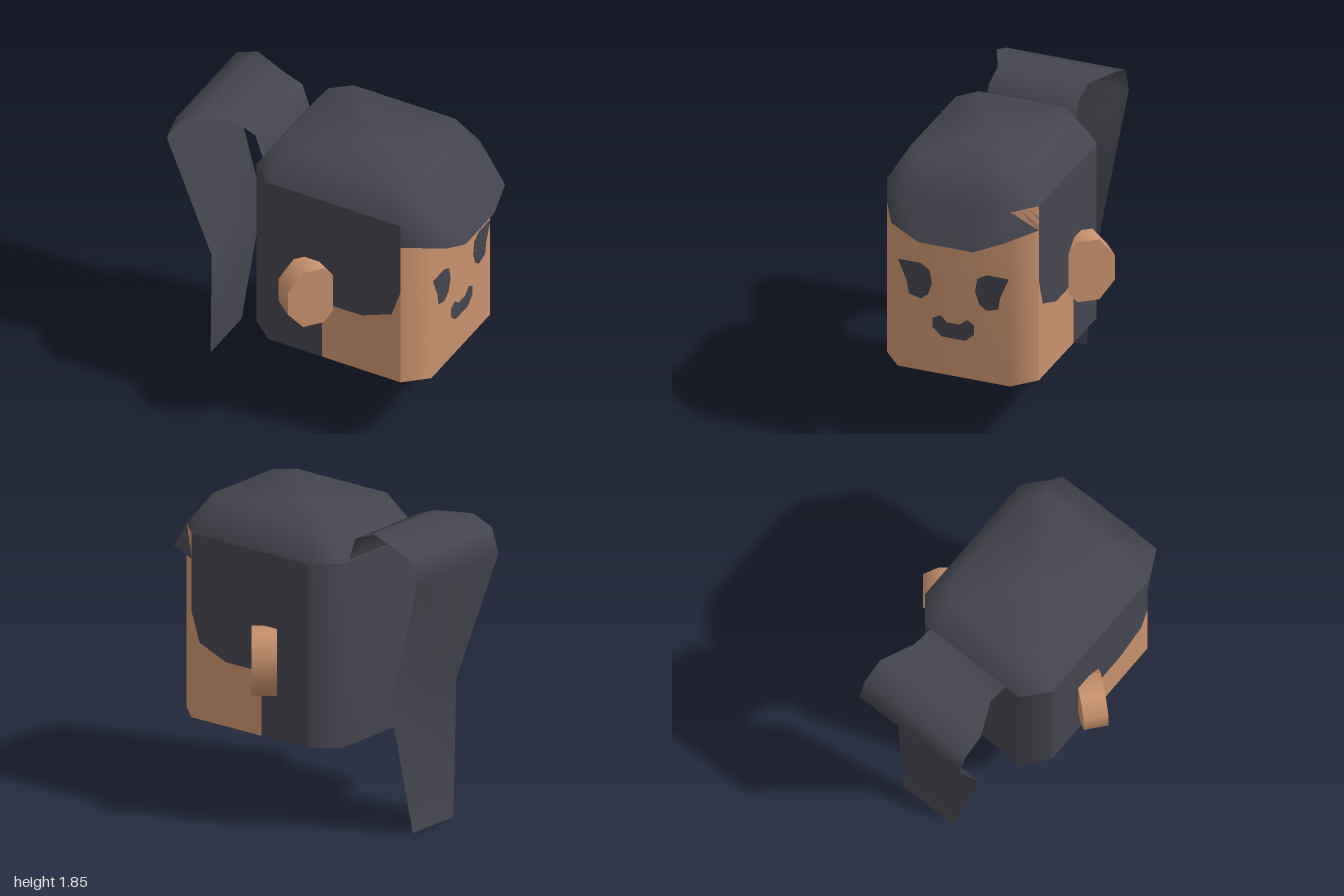
import * as THREE from 'three';
import { mergeVertices } from 'three/addons/utils/BufferGeometryUtils.js';

const material = (name, color) =>
  Object.assign(new THREE.MeshStandardMaterial({ color, side: THREE.DoubleSide }), { name });

// Smooth surface through rows of [x, y, z] points
function loft(rows) {
  const n = rows[0].length, index = [];
  for (let i = 0; i < rows.length - 1; i++) {
    for (let j = 0; j < n - 1; j++) {
      const a = i * n + j, b = a + 1, c = b + n, d = a + n;
      index.push(a, b, d, b, c, d);
    }
  }
  const g = new THREE.BufferGeometry();
  g.setAttribute('position', new THREE.Float32BufferAttribute(rows.flat(2), 3));
  g.setIndex(index);
  const merged = mergeVertices(g, 1e-4);
  merged.computeVertexNormals();
  return merged;
}

const flat = (pts) => new THREE.ShapeGeometry(new THREE.Shape(pts.map((p) => new THREE.Vector2(...p))));
const atHeight = (pts, y) => pts.map(([x, z]) => [x, y, z]);

export function createModel() {
  const hair = material('charcoal hair', 0x45454f);
  const skin = material('tan skin', 0xc9926e);
  const model = new THREE.Group();

  // The head faces local +x and is turned towards the front
  const head = new THREE.Group();
  head.name = 'head';
  head.rotation.y = THREE.MathUtils.degToRad(-28.5);
  model.add(head);
  const add = (name, geometry, mat, parent = head) => {
    const mesh = new THREE.Mesh(geometry, mat);
    mesh.name = name;
    parent.add(mesh);
    return mesh;
  };

  const bottom = 0.49, brow = 1.48, crown = 1.64, top = 1.835;
  const front = [[0.7, 0.485], [0.84, 0.36], [0.84, -0.36], [0.7, -0.485]];
  const back = [[-0.19, -0.485], [-0.34, -0.36], [-0.34, 0.36], [-0.19, 0.485]];

  // Face, back of the head and chin
  add('face', loft([atHeight(front, bottom), atHeight(front, crown)]), skin);
  add('backHair', loft([atHeight(back, bottom), atHeight(back, crown)]), hair);
  add('chin', flat([...front, ...back]).rotateX(Math.PI / 2).translate(0, bottom, 0), skin);

  // Cheek outline shared by skin and hair on each side
  const hairline = [[0.17, 0.49], [0.17, 0.89], [0.44, 0.89], [0.64, 0.97], [0.7, 1.15]];
  const cheek = flat([[0.7, bottom], ...hairline.slice().reverse()]);
  const sideHair = flat([[-0.19, bottom], ...hairline, [0.7, crown], [-0.19, crown]]);

  // Eight-sided ear, flared out towards the back
  const ear = new THREE.CylinderGeometry(0.214, 0.214, 0.15, 8, 1, false, Math.PI / 8)
    .rotateX(Math.PI / 2).scale(0.823, 1, 1).rotateY(0.885).translate(0.109, 0.985, 0.533);

  // Eye and mouth plates, drawn facing +x
  const eye = flat([[0.355, 1.2], [0.212, 1.2], [0.153, 1.165], [0.138, 1.08],
    [0.163, 1], [0.21, 0.965], [0.285, 0.985], [0.3, 1.07]]).rotateY(Math.PI / 2).translate(0.847, 0, 0);
  const halfMouth = [[0.04, 0.84], [0.085, 0.88], [0.133, 0.852], [0.133, 0.792], [0.075, 0.74]];
  const mouth = flat([...halfMouth, ...halfMouth.map(([x, y]) => [-x, y]).reverse()]);
  add('mouth', mouth.rotateY(Math.PI / 2).translate(0.847, 0, 0), hair);

  for (const [label, s] of [['right', 1], ['left', -1]]) {
    const side = new THREE.Group();
    side.name = label + 'Side';
    side.scale.z = s;
    head.add(side);
    add(label + 'Cheek', cheek, skin, side).position.z = 0.485;
    add(label + 'SideHair', sideHair, hair, side).position.z = 0.485;
    add(label + 'Ear', ear, skin, side);
    add(label + 'Eye', eye, hair, side);
  }

  // Hair cap with a flared fringe over the face
  const fringe = [[0.7, brow, 0.485], [0.94, brow, 0.36], [0.968, 1.4, 0.176],
    [0.968, 1.4, -0.176], [0.94, brow, -0.36], [0.7, brow, -0.485]];
  const frontRim = [front[0], front[1], [0.84, 0.176], [0.84, -0.176], front[2], front[3]];
  const rim = [front[0], ...frontRim, front[3], ...back, front[0]];
  const hem = atHeight(rim, crown);
  fringe.forEach((p, i) => { hem[i + 1] = p; });
  const roof = rim.map(([x, z]) => [0.25 + (x - 0.25) * 0.77, z * 0.77]);
  add('hairCap', loft([hem, atHeight(rim, crown), atHeight(roof, top),
    rim.map(() => [0.25, top, 0])]), hair);
  add('fringeUnderside', loft([atHeight(frontRim, brow), fringe]), hair);

  // Ponytail: a thin strip arching off the back; x, y, half width
  const tail = [[-0.335, 1.64, 0.288], [-0.385, 1.79, 0.288], [-0.525, 1.845, 0.288],
    [-0.735, 1.845, 0.382], [-0.88, 1.79, 0.382], [-0.93, 1.635, 0.382],
    [-0.668, 0.82, 0.31], [-0.742, 0, 0.19]];
  add('ponytail', loft(tail.map(([x, y, w]) => [[x, y, w], [x, y, -w]])), hair);

  return model;
}
